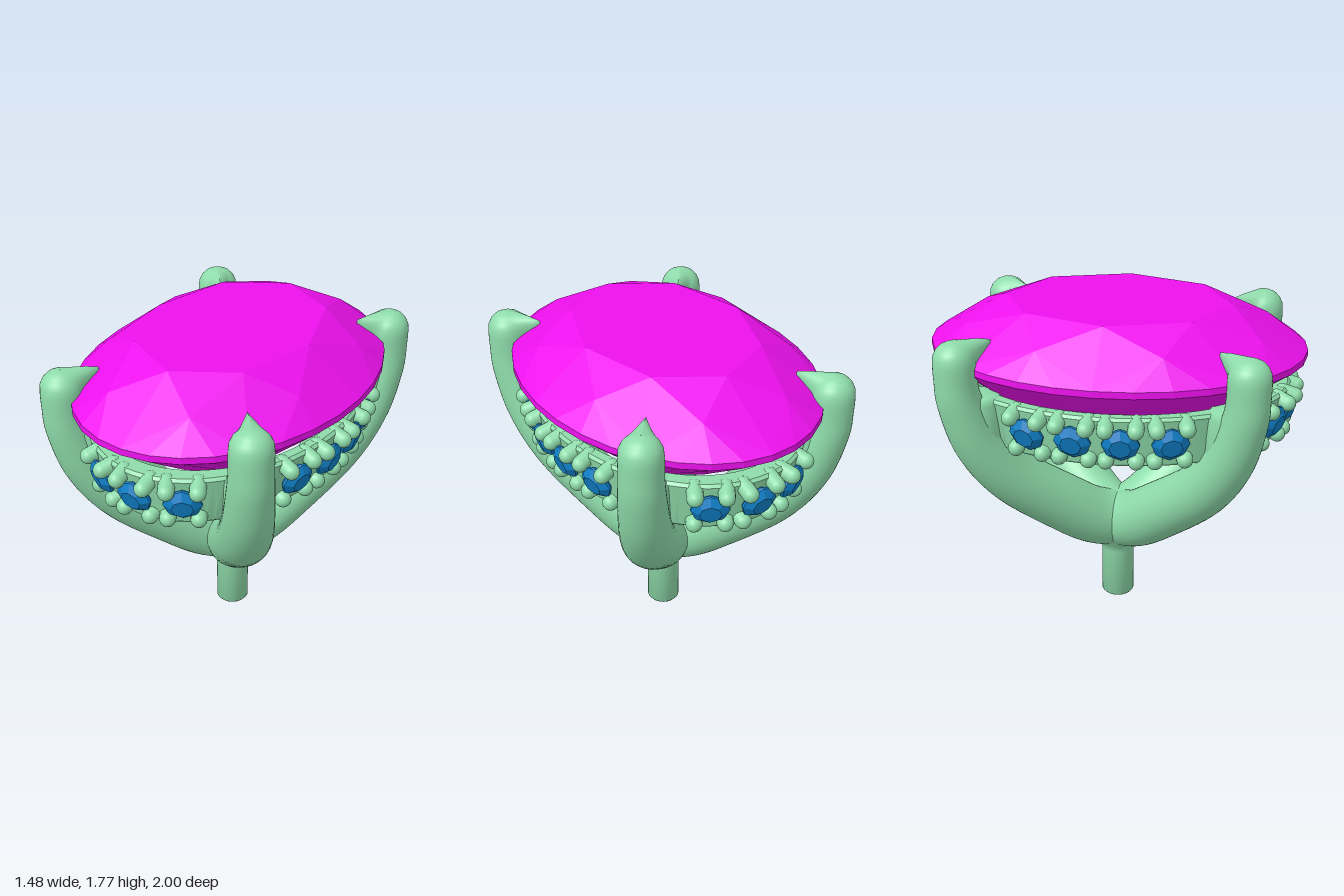
import * as THREE from 'three';
import { ConvexGeometry } from 'three/addons/geometries/ConvexGeometry.js';
import { toCreasedNormals } from 'three/addons/utils/BufferGeometryUtils.js';

const metal = new THREE.MeshStandardMaterial({ color: 0x8fdcab });
const gemMat = new THREE.MeshStandardMaterial({ color: 0xee11ee, flatShading: true });
const stoneMat = new THREE.MeshStandardMaterial({ color: 0x1080c8, flatShading: true });

function add(parent, name, geometry, material) {
  const mesh = new THREE.Mesh(geometry, material);
  mesh.name = name;
  parent.add(mesh);
  return mesh;
}

// Skin a list of equal-sized point loops
function loft(rings, crease) {
  const n = rings[0].length;
  const index = [];
  for (let i = 0; i < rings.length - 1; i++) {
    for (let j = 0; j < n; j++) {
      const a = i * n + j, b = i * n + (j + 1) % n;
      index.push(a, b, b + n, a, b + n, a + n);
    }
  }
  const g = new THREE.BufferGeometry().setFromPoints(rings.flat());
  g.setIndex(index);
  return toCreasedNormals(g, crease);
}

// Loop of points on a horizontal ellipse
function oval(a, b, y, n, phase = 0) {
  return Array.from({ length: n }, (_, i) => {
    const t = (i + phase) / n * Math.PI * 2;
    return new THREE.Vector3(a * Math.sin(t), y, b * Math.cos(t));
  });
}

// Large oval brilliant: table, star points, girdle, pavilion, culet
function centreGem() {
  const A = 0.74, B = 1;
  return new ConvexGeometry([
    ...oval(0.45, 0.6, 1.77, 8),
    ...oval(A * 0.83, B * 0.83, 1.665, 8, 0.5),
    ...oval(A, B, 1.545, 32),
    ...oval(A, B, 1.51, 32),
    ...oval(A * 0.42, B * 0.42, 1.1, 8),
    new THREE.Vector3(0, 0.87, 0),
  ]);
}

// Prong: thick curved arm that ends in a claw with a teardrop section
function prong(sx, sz) {
  const out = new THREE.Vector3(0.6 * sx, 0, 0.8 * sz);
  const up = new THREE.Vector3(0, 1, 0);
  const path = new THREE.SplineCurve([[0, 0.47], [0.16, 0.53], [0.33, 0.645], [0.63, 0.88],
    [0.81, 1.11], [0.9, 1.35], [0.917, 1.48]].map(p => new THREE.Vector2(...p)));
  const rings = [];
  const section = (R, y, dR, dy, r, tip) => {
    const centre = out.clone().multiplyScalar(R).addScaledVector(up, y);
    const along = out.clone().multiplyScalar(dR).addScaledVector(up, dy);
    const inward = out.clone().multiplyScalar(-dy).addScaledVector(up, dR);
    const side = along.cross(inward);
    rings.push(Array.from({ length: 40 }, (_, i) => {
      const a = i / 40 * Math.PI * 2, c = Math.cos(a), s = Math.sin(a);
      const reach = c > 0 ? Math.max(r * c, tip * (1 - Math.abs(s))) : r * c;
      return centre.clone().addScaledVector(inward, reach).addScaledVector(side, r * s);
    }));
  };
  for (let i = 0; i <= 32; i++) {
    const t = i / 32, p = path.getPoint(t), d = path.getTangent(t);
    const r = 0.16 - 0.05 * THREE.MathUtils.smoothstep(t, 0.25, 1);
    section(p.x, p.y, d.x, d.y, r, r);
  }
  // claw levels: height, radius, tip reach
  for (const [y, r, tip] of [[1.53, 0.11, 0.14], [1.57, 0.11, 0.165], [1.61, 0.106, 0.19],
    [1.64, 0.092, 0.2], [1.665, 0.068, 0.195], [1.68, 0.038, 0.13], [1.686, 0.001, 0.001]]) {
    section(0.918, y, 0, 1, r, tip);
  }
  return loft(rings, 0.9);
}

// Small round stone held by four beads, facing outward and slightly down
const stoneGeo = new THREE.LatheGeometry([[0, -0.08], [0.097, 0.012], [0.097, 0.024], [0.055, 0.055],
  [0, 0.055]].map(p => new THREE.Vector2(...p)), 8).rotateX(Math.PI / 2);
const beadGeo = new THREE.CapsuleGeometry(0.042, 0.07, 6, 14).rotateX(Math.PI / 2);

function accent(x, z) {
  const a = 0.635, b = 0.895;
  const g = new THREE.Group();
  g.name = 'accentStone';
  g.position.set(x, 1.235, z);
  g.rotation.order = 'YXZ';
  g.rotation.y = Math.atan2(x / (a * a), z / (b * b));
  g.rotation.x = 0.28;
  add(g, 'stone', stoneGeo, stoneMat);
  for (const s of [-1, 1]) {
    add(g, 'upperBead', beadGeo, metal).position.set(s * 0.076, 0.094, -0.007);
    add(g, 'lowerBead', beadGeo, metal).position.set(s * 0.076, -0.1, -0.007);
  }
  return g;
}

export function createModel() {
  const model = new THREE.Group();
  model.name = 'gemSetting';

  add(model, 'centreGem', centreGem(), gemMat);

  // Peg with a flare into the prongs
  const peg = new THREE.LatheGeometry([[0, 0], [0.08, 0], [0.09, 0.012], [0.09, 0.29], [0.1, 0.325],
    [0.13, 0.36], [0.15, 0.4], [0.14, 0.46], [0, 0.5]].map(p => new THREE.Vector2(...p)), 40);
  add(model, 'peg', toCreasedNormals(peg, 0.9), metal);

  // Gallery: sloped oval band with a narrow opening below
  const band = [[0.6, 0.86, 1.09], [0.615, 0.875, 1.105], [0.66, 0.92, 1.355], [0.645, 0.905, 1.37],
    [0.6, 0.82, 1.37], [0.36, 0.48, 1.09], [0.6, 0.86, 1.09]];
  add(model, 'gallery', loft(band.map(([a, b, y]) => oval(a, b, y, 96)), 0.6), metal);

  // Prongs and the webs that join them to the gallery
  const web = new THREE.LatheGeometry([[0, -0.15], [0.09, -0.15], [0.115, -0.12], [0.115, 0.11],
    [0.09, 0.145], [0, 0.145]].map(p => new THREE.Vector2(...p)), 28);
  for (const sx of [-1, 1]) {
    for (const sz of [-1, 1]) {
      add(model, 'prong', prong(sx, sz), metal);
      add(model, 'prongWeb', web, metal).position.set(0.465 * sx, 1.235, 0.635 * sz);
    }
  }

  // Three accent stones at each end, four along each side
  for (const s of [-1, 1]) {
    for (const x of [-0.23, 0, 0.23]) model.add(accent(x, s * 0.895 * Math.sqrt(1 - (x / 0.635) ** 2)));
    for (const z of [-0.36, -0.12, 0.12, 0.36]) model.add(accent(s * 0.635 * Math.sqrt(1 - (z / 0.895) ** 2), z));
  }
  return model;
}
